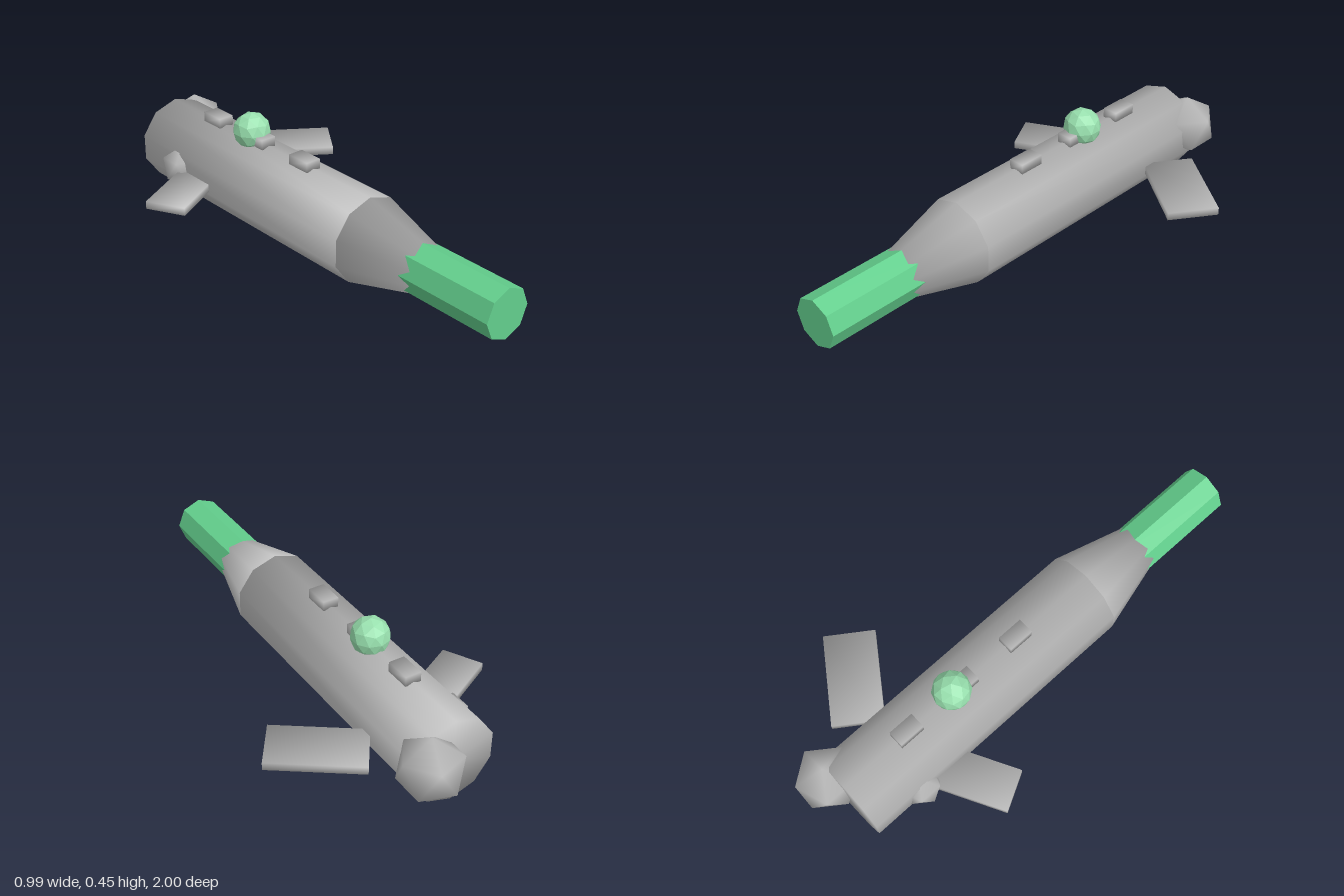
import * as THREE from 'three';
import { mergeVertices } from 'three/addons/utils/BufferGeometryUtils.js';

// Weld corners and give them angle-weighted normals, so shading flows over every edge
function smooth(geo) {
  geo.deleteAttribute('uv');
  geo.deleteAttribute('normal');
  const g = mergeVertices(geo);
  const pos = g.attributes.position, idx = g.index;
  const sums = Array.from({ length: pos.count }, () => new THREE.Vector3());
  for (let t = 0; t < idx.count; t += 3) {
    const ids = [0, 1, 2].map((k) => idx.getX(t + k));
    const p = ids.map((i) => new THREE.Vector3().fromBufferAttribute(pos, i));
    const n = new THREE.Triangle(...p).getNormal(new THREE.Vector3());
    for (let k = 0; k < 3; k++) {
      const a = p[(k + 1) % 3].clone().sub(p[k]);
      const b = p[(k + 2) % 3].clone().sub(p[k]);
      sums[ids[k]].addScaledVector(n, a.angleTo(b));
    }
  }
  g.setAttribute('normal', new THREE.Float32BufferAttribute(sums.flatMap((s) => s.normalize().toArray()), 3));
  return g;
}

// Faceted surface with one normal per face
function faceted(geo) {
  const g = geo.index ? geo.toNonIndexed() : geo;
  g.computeVertexNormals();
  return g;
}

// Icosahedron standing on a corner
const ball = (r, detail = 0) =>
  new THREE.IcosahedronGeometry(r, detail).rotateZ(-Math.atan(2 / (1 + Math.sqrt(5))));

export function createModel() {
  const model = new THREE.Group();
  const material = (name, color) => {
    const m = new THREE.MeshStandardMaterial({ color });
    m.name = name;
    return m;
  };
  const grey = material('grey', 0xb8b8b8);
  const green = material('green', 0x63cf8d);
  const paleGreen = material('paleGreen', 0x98e0ae);

  const add = (name, geo, mat, x, y, z, turn = 0) => {
    const mesh = new THREE.Mesh(geo, mat);
    mesh.name = name;
    mesh.position.set(x, y, z);
    mesh.rotation.y = turn;
    model.add(mesh);
  };
  const cx = -0.065, cy = 0.175;

  // Ten-sided hull, tapering cone and eight-sided nose rod
  add('body', smooth(new THREE.CylinderGeometry(0.173, 0.173, 1.205, 10).rotateX(Math.PI / 2)), grey, cx, cy, -0.2725);
  add('noseCone', smooth(new THREE.ConeGeometry(0.173, 0.64, 10).rotateX(Math.PI / 2)), grey, cx, cy, 0.65);
  add('noseRod', faceted(new THREE.CylinderGeometry(0.1, 0.1, 0.5, 8).rotateX(Math.PI / 2)), green, cx, cy, 0.75);

  // Swept fins
  add('leftFin', smooth(new THREE.BoxGeometry(0.366, 0.032, 0.204)), grey, 0.285, 0.149, -0.5575, -0.61);
  add('rightFin', smooth(new THREE.BoxGeometry(0.34, 0.032, 0.166)), grey, -0.31, 0.149, -0.483, 0.49);

  // Bumps along the back
  for (const z of [-0.035, -0.302, -0.572]) {
    add('backBump', smooth(new THREE.BoxGeometry(0.065, 0.04, 0.105)), grey, cx, 0.36, z);
  }

  // Dome on the back, tail ball and side ball
  add('topDome', faceted(ball(0.076, 1)), paleGreen, cx, 0.38, -0.353);
  add('tailBall', smooth(ball(0.13)), grey, 0.042, 0.205, -0.888);
  add('sideBall', smooth(ball(0.085)), grey, -0.204, 0.165, -0.645);

  return model;
}
